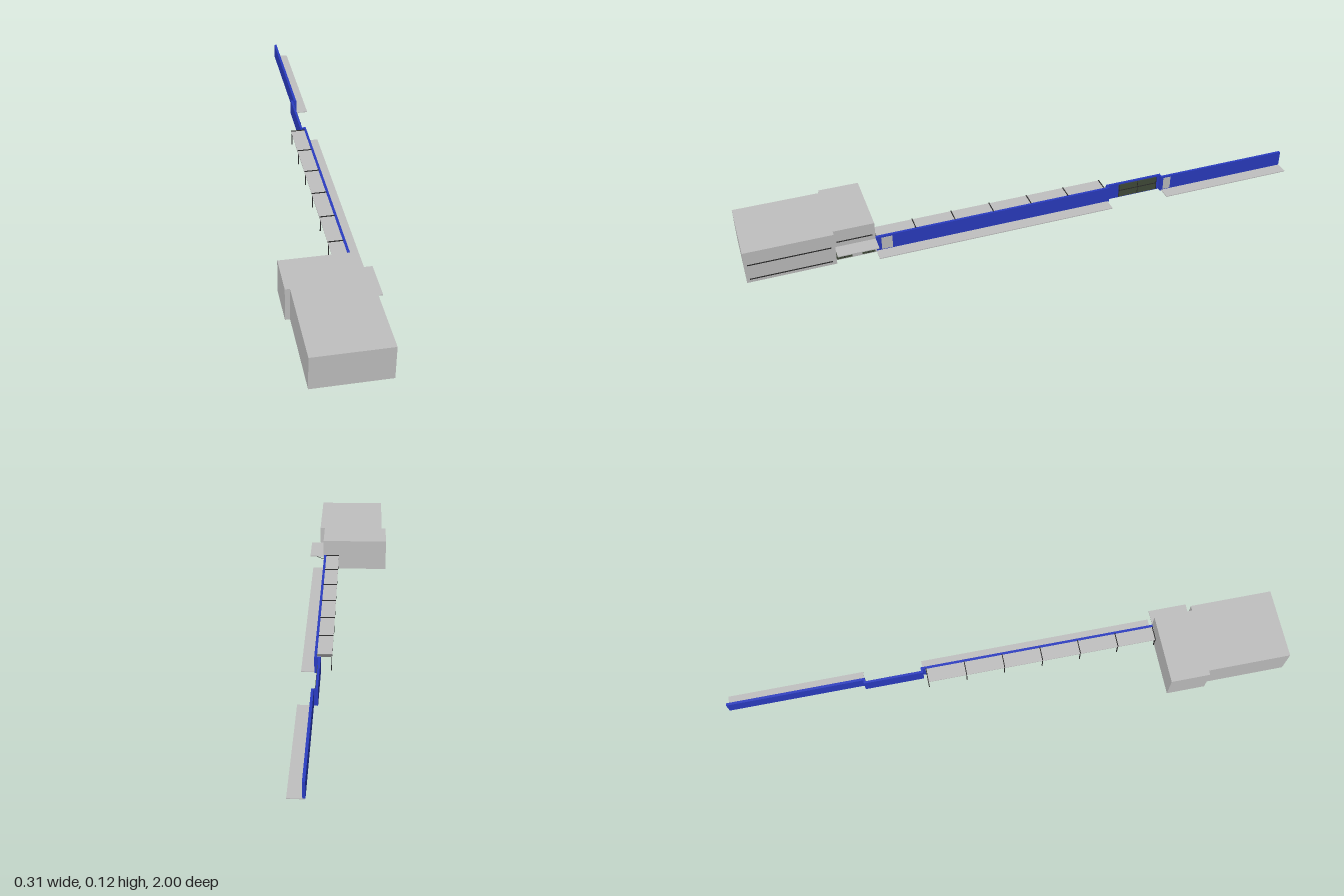
import * as THREE from 'three';

export function createModel() {
  const model = new THREE.Group();
  model.name = 'stationBuildingAndPlatform';
  const mat = (name, color) => {
    const m = new THREE.MeshStandardMaterial({ color });
    m.name = name;
    return m;
  };
  const grey = mat('concreteGrey', 0xc0c0c0);
  const blue = mat('wallBlue', 0x2a3cc2);
  const green = mat('shutterGreen', 0x414b3a);
  const dark = mat('trimDark', 0x2a2a2a);

  // Box given by its extents along each axis
  const box = (name, m, x0, x1, y0, y1, z0, z1, parent = model) => {
    const mesh = new THREE.Mesh(new THREE.BoxGeometry(x1 - x0, y1 - y0, z1 - z0), m);
    mesh.position.set((x0 + x1) / 2, (y0 + y1) / 2, (z0 + z1) / 2);
    mesh.name = name;
    parent.add(mesh);
    return mesh;
  };

  // Building: main hall and the offset rear hall
  const building = new THREE.Group();
  building.name = 'building';
  model.add(building);
  box('mainHall', grey, -0.137, 0.117, 0, 0.121, 0.702, 1, building);
  box('rearHall', grey, -0.153, 0.099, 0, 0.121, 0.562, 0.702, building);
  for (const y of [0.011, 0.068]) box('sideTrim', dark, 0.117, 0.118, y, y + 0.004, 0.715, 0.99, building);
  box('rearTrim', dark, 0.099, 0.1, 0.073, 0.077, 0.572, 0.694, building);

  // Entrance doors under the canopy
  const entrance = new THREE.Group();
  entrance.name = 'entrance';
  model.add(entrance);
  for (const [z0, z1] of [[0.568, 0.612], [0.647, 0.7]]) {
    box('entranceDoor', green, 0.099, 0.101, 0.004, 0.05, z0, z1, entrance);
    const mid = (z0 + z1) / 2;
    box('doorJoint', dark, 0.101, 0.102, 0.004, 0.05, mid - 0.001, mid + 0.001, entrance);
  }
  box('canopy', grey, 0.099, 0.153, 0.053, 0.056, 0.562, 0.702, entrance);
  for (const z of [0.575, 0.63, 0.688]) {
    const brace = box('canopyBrace', dark, 0.099, 0.143, 0.046, 0.0475, z - 0.001, z + 0.001, entrance);
    brace.rotation.z = 0.4;
    brace.position.y = 0.045;
  }

  // Paving strips and long blue walls with their grey panels
  for (const [z0, z1, p0, p1] of [[-0.292, 0.562, 0.505, 0.543], [-1, -0.507, -0.54, -0.512]]) {
    box('paving', grey, 0.09, 0.142, 0, 0.003, z0, z1);
    box('longWall', blue, 0.088, 0.097, 0.003, 0.059, z0, z1);
    box('wallPanel', grey, 0.097, 0.0985, 0.006, 0.053, p0, p1);
  }

  // Recessed gateway between the walls
  const gate = new THREE.Group();
  gate.name = 'gateway';
  model.add(gate);
  box('gateWall', blue, 0.075, 0.083, 0, 0.06, -0.507, -0.292, gate);
  for (const z of [-0.507, -0.298]) box('gateReturn', blue, 0.075, 0.097, 0, 0.06, z, z + 0.006, gate);
  box('gateShutter', green, 0.083, 0.085, 0.003, 0.055, -0.49, -0.34, gate);
  box('shutterRail', dark, 0.085, 0.086, 0.029, 0.032, -0.49, -0.34, gate);
  for (const z of [-0.49, -0.415, -0.342]) box('shutterFrame', dark, 0.085, 0.086, 0.003, 0.055, z, z + 0.002, gate);

  // Walkway roof with seams, cross beams and posts
  const walkway = new THREE.Group();
  walkway.name = 'coveredWalkway';
  model.add(walkway);
  box('walkwayRoof', grey, 0.037, 0.09, 0.055, 0.058, -0.281, 0.562, walkway);
  for (let i = 0; i < 7; i++) {
    const z = -0.279 + i * 0.1397;
    box('roofSeam', dark, 0.037, 0.09, 0.058, 0.0605, z - 0.0015, z + 0.0015, walkway);
    box('roofBeam', dark, 0.039, 0.088, 0.052, 0.055, z - 0.0015, z + 0.0015, walkway);
    box('roofPost', dark, 0.039, 0.042, 0, 0.055, z - 0.0015, z + 0.0015, walkway);
  }
  return model;
}
